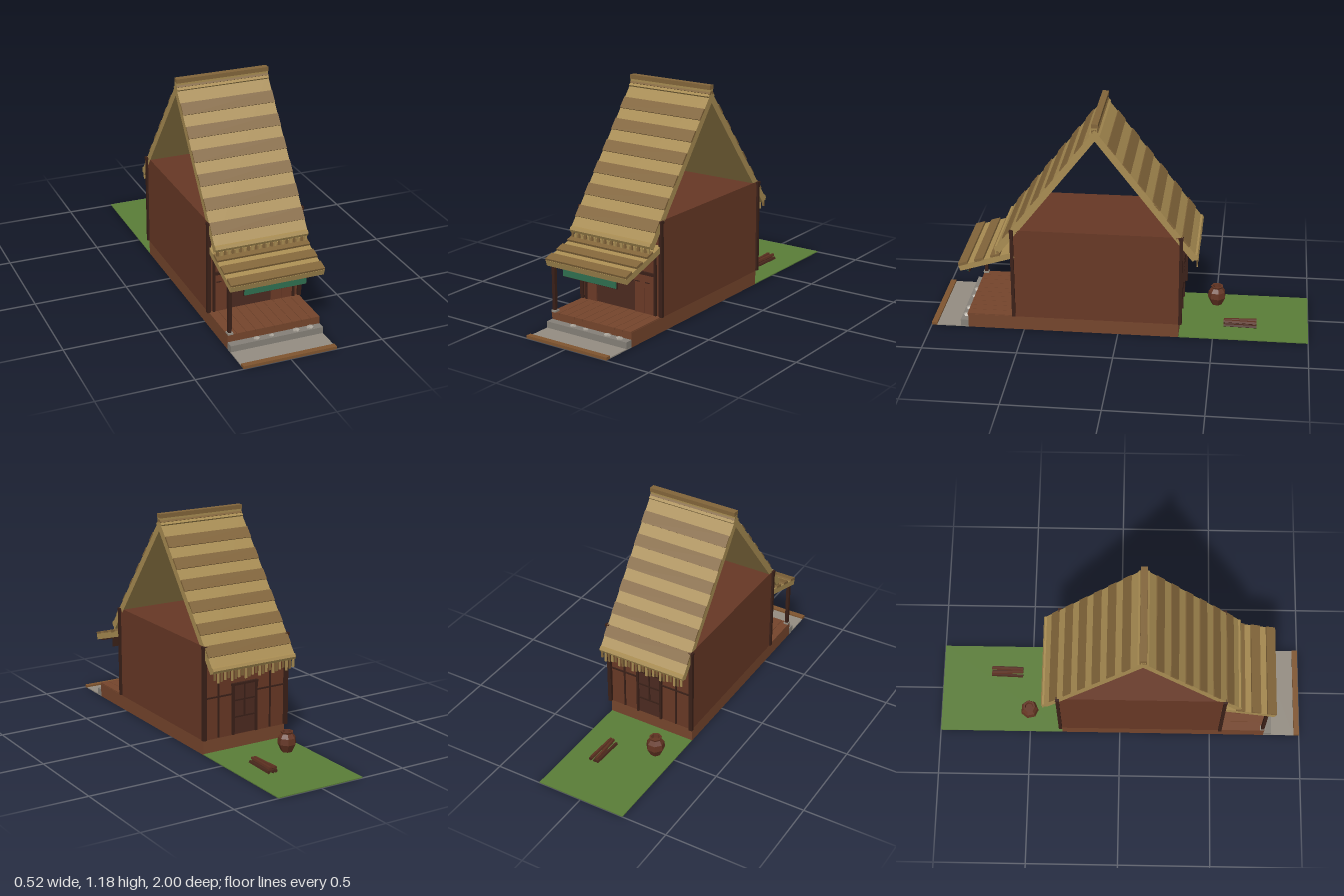
import * as THREE from 'three';

const mats = {};
const mat = (color) => (mats[color] ??= new THREE.MeshStandardMaterial({ color, flatShading: true }));
const STRAW = 0xa88c52, THATCH = 0x82653a, WALL = 0x673825, DARK = 0x3a2018, FLOOR = 0x75452c,
  DOOR = 0x4c2a20, GREEN = 0x5a7d38, STONE = 0x948d82, SIGN = 0x2f6f50;

function add(parent, name, geo, color, x = 0, y = 0, z = 0) {
  const m = new THREE.Mesh(geo, mat(color));
  m.name = name;
  m.position.set(x, y, z);
  parent.add(m);
  return m;
}

// Box given by its limits on each axis
function block(parent, name, color, [x0, x1], [y0, y1], [z0, z1]) {
  return add(parent, name, new THREE.BoxGeometry(x1 - x0, y1 - y0, z1 - z0), color,
    (x0 + x1) / 2, (y0 + y1) / 2, (z0 + z1) / 2);
}

// Flat slope descending towards +z: outer surface starts at (y, z), s measured along it
function slope(parent, name, y, z, drop, run) {
  const g = new THREE.Group();
  g.name = name;
  g.position.set(0, y, z);
  g.rotation.x = Math.atan2(drop, run);
  parent.add(g);
  return g;
}

// Thatched main slope with proud dark courses, eave roll and hanging straw
function roofSide(name) {
  const side = new THREE.Group();
  side.name = name;
  const drop = 0.68, run = 0.53, L = Math.hypot(drop, run), k = L / drop;
  const s = slope(side, name + 'Thatch', 1.15, 0, drop, run);
  block(s, 'thatchBase', STRAW, [-0.25, 0.25], [-0.036, 0], [0, L]);
  for (let i = 0; i < 6; i++) {
    const top = (0.08 + i * 0.098) * k;
    block(s, 'darkCourse', THATCH, [-0.25, 0.25], [-0.004, 0.006], [top, top + 0.05 * k]);
  }
  block(s, 'ridgeFlap', THATCH, [-0.25, 0.25], [-0.004, 0.008], [0.0, 0.02]);
  const roll = add(side, 'eaveRoll', new THREE.CylinderGeometry(0.018, 0.018, 0.5, 7), STRAW, 0, 0.472, 0.515);
  roll.rotation.z = Math.PI / 2;
  for (let i = 0; i < 24; i++) {
    const x = -0.238 + i * 0.0207, h = 0.035 + 0.012 * ((i * 7) % 4) / 2;
    block(side, 'strawFringe', i % 2 ? STRAW : THATCH, [x - 0.006, x + 0.006], [0.458 - h, 0.458], [0.521, 0.528]);
  }
  return side;
}

export function createModel() {
  const house = new THREE.Group();
  house.name = 'thatchedHouse';
  const full = [-0.25, 0.25];

  // Ground, street and plinth
  block(house, 'backYard', GREEN, full, [0, 0.005], [-1, -0.32]);
  block(house, 'street', STONE, full, [0, 0.006], [0.8, 0.97]);
  block(house, 'curb', 0x80552f, full, [0, 0.015], [0.97, 1]);
  block(house, 'frontStep', 0x858078, full, [0.001, 0.04], [0.8, 0.842]);
  block(house, 'plinth', FLOOR, full, [0, 0.076], [-0.32, 0.8]);
  for (let i = 0; i < 10; i++)
    block(house, 'deckPlank', FLOOR, [-0.25 + i * 0.05, -0.202 + i * 0.05], [0.07, 0.081], [0.54, 0.803]);
  for (const [x, r] of [[-0.1, 0.018], [-0.02, 0.015], [0.115, 0.02], [0.19, 0.02]]) {
    const p = add(house, 'pebble', new THREE.DodecahedronGeometry(r), 0xa8a298, x, 0.04, 0.82);
    p.scale.y = 0.6;
  }

  // Wall block and corner posts
  block(house, 'walls', WALL, full, [0.076, 0.58], [-0.32, 0.55]);
  for (const x of [-0.25, 0.25]) for (const z of [-0.328, 0.553]) {
    block(house, 'cornerPost', DARK, [x - 0.01, x + 0.01], [0.08, 0.575], [z - 0.009, z + 0.009]);
    block(house, 'postCap', DARK, [x - 0.012, x + 0.012], [0.567, 0.581], [z - 0.011, z + 0.011]);
  }

  // Front wall: wide dark doorway between panelled sides
  block(house, 'doorway', DOOR, [-0.155, 0.09], [0.08, 0.285], [0.545, 0.553]);
  block(house, 'doorLintel', DARK, [-0.22, 0.22], [0.285, 0.3], [0.545, 0.562]);
  for (const [a, b] of [[-0.215, -0.155], [0.09, 0.15], [0.152, 0.208]]) {
    block(house, 'frontPanel', 0x6b3a27, [a, b], [0.08, 0.285], [0.545, 0.558]);
    block(house, 'panelRail', DARK, [a + 0.005, a + 0.03], [0.243, 0.248], [0.55, 0.561]);
  }
  for (const x of [-0.222, 0.215])
    block(house, 'frontStud', DARK, [x - 0.006, x + 0.006], [0.08, 0.4], [0.545, 0.562]);

  // Back wall: framed door, battens and rails
  const back = (name, color, x, y, d) => block(house, name, color, x, y, [-0.32 - d, -0.315]);
  back('backDoor', DOOR, [-0.06, 0.07], [0.08, 0.345], 0.005);
  for (const x of [-0.065, 0.075]) back('doorJamb', DARK, [x - 0.006, x + 0.006], [0.08, 0.355], 0.014);
  back('doorHead', DARK, [-0.075, 0.085], [0.345, 0.357], 0.014);
  for (const y of [0.17, 0.26]) back('doorRail', DARK, [-0.06, 0.07], [y, y + 0.008], 0.01);
  back('doorStile', DARK, [0.001, 0.009], [0.17, 0.345], 0.01);
  for (const x of [-0.155, 0.16]) back('batten', DARK, [x - 0.004, x + 0.004], [0.08, 0.5], 0.006);
  for (const [a, b] of [[-0.24, -0.07], [0.08, 0.24]]) back('wallRail', DARK, [a, b], [0.296, 0.304], 0.006);

  // Main roof: two equal slopes and a ridge cap
  const roof = new THREE.Group();
  roof.name = 'mainRoof';
  roof.position.z = 0.115;
  house.add(roof);
  const rear = roofSide('rearSlope');
  rear.rotation.y = Math.PI;
  roof.add(roofSide('frontSlope'), rear);
  block(roof, 'ridgePole', STRAW, full, [1.125, 1.162], [-0.012, 0.012]);
  block(roof, 'ridgeCap', THATCH, full, [1.16, 1.182], [-0.017, 0.017]);

  // Porch roof with overlapping courses
  const porch = slope(house, 'porchRoof', 0.452, 0.55, 0.09, 0.29);
  const PL = Math.hypot(0.09, 0.29);
  block(porch, 'porchThatch', STRAW, full, [-0.032, 0], [0, PL]);
  for (const s of [0.07, 0.16, 0.25])
    block(porch, 'porchCourse', THATCH, full, [-0.004, 0.011], [s, s + 0.052]);

  // Porch post, beam and blank hanging board
  block(house, 'porchBeam', DARK, [-0.245, 0.245], [0.338, 0.356], [0.782, 0.798]);
  block(house, 'porchPost', DARK, [-0.246, -0.228], [0.08, 0.36], [0.782, 0.8]);
  block(house, 'postBase', STONE, [-0.25, -0.222], [0.08, 0.09], [0.776, 0.806]);
  block(house, 'hangingBoard', SIGN, [-0.165, 0.165], [0.288, 0.337], [0.802, 0.81]);
  block(house, 'boardFrame', DARK, [-0.17, 0.17], [0.284, 0.34], [0.798, 0.804]);

  // Water jar in the yard
  const jarProfile = [[0, 0], [0.028, 0], [0.05, 0.045], [0.046, 0.078], [0.03, 0.1], [0.034, 0.11], [0.024, 0.11], [0.022, 0.09], [0, 0.09]]
    .map(([r, y]) => new THREE.Vector2(r, y));
  add(house, 'jar', new THREE.LatheGeometry(jarProfile, 7), 0x633422, -0.14, 0.003, -0.505);

  // Firewood pile
  for (const [x, y, t] of [[0.075, 0.014, 0.04], [0.097, 0.014, -0.03], [0.119, 0.014, 0.02], [0.086, 0.031, -0.05], [0.108, 0.031, 0.04]]) {
    const log = add(house, 'firewood', new THREE.CylinderGeometry(0.009, 0.01, 0.175, 5), y > 0.02 ? 0x5c3020 : 0x4a281c, x, y, -0.64);
    log.rotation.set(Math.PI / 2, 0, t);
  }
  return house;
}
